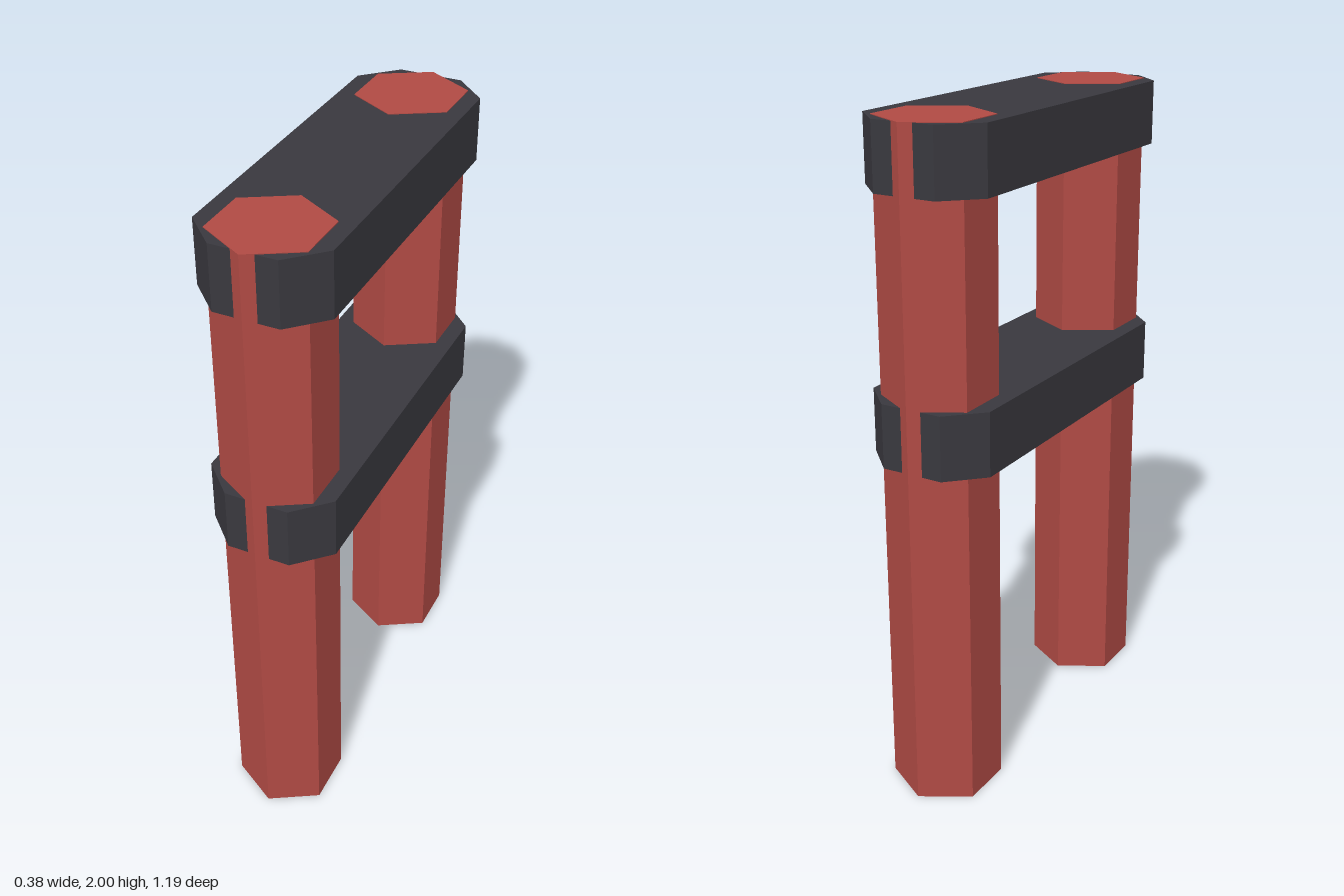
import * as THREE from 'three';

export function createModel() {
  const group = new THREE.Group();
  const red = new THREE.MeshStandardMaterial({ color: 0xb04a44, flatShading: true });
  red.name = 'red post';
  const dark = new THREE.MeshStandardMaterial({ color: 0x39383e, flatShading: true });
  dark.name = 'charcoal beam';

  // Two hexagonal posts, one vertex pointing along z
  const radius = 0.164, postZ = 0.432, height = 2;
  const postGeometry = new THREE.CylinderGeometry(radius, radius, height, 6);
  for (const [name, side] of [['frontPost', 1], ['backPost', -1]]) {
    const post = new THREE.Mesh(postGeometry, red);
    post.name = name;
    post.position.set(0, height / 2, side * postZ);
    group.add(post);
  }

  // Cross beams: long plates with chamfered corners, laid flat
  const w = 0.192, l = 0.577, c = 0.097, thickness = 0.19;
  const outline = new THREE.Shape([
    [w, -l + c], [w, l - c], [w - c, l], [-w + c, l],
    [-w, l - c], [-w, -l + c], [-w + c, -l], [w - c, -l],
  ].map(([x, y]) => new THREE.Vector2(x, y)));
  const beamGeometry = new THREE.ExtrudeGeometry(outline, { depth: thickness, bevelEnabled: false });
  beamGeometry.rotateX(-Math.PI / 2);

  // The top beam sits a hair below the post tops so the hexagons show
  for (const [name, y] of [['topBeam', 1.808], ['middleBeam', 1.042]]) {
    const beam = new THREE.Mesh(beamGeometry, dark);
    beam.name = name;
    beam.position.y = y;
    group.add(beam);
  }
  return group;
}
